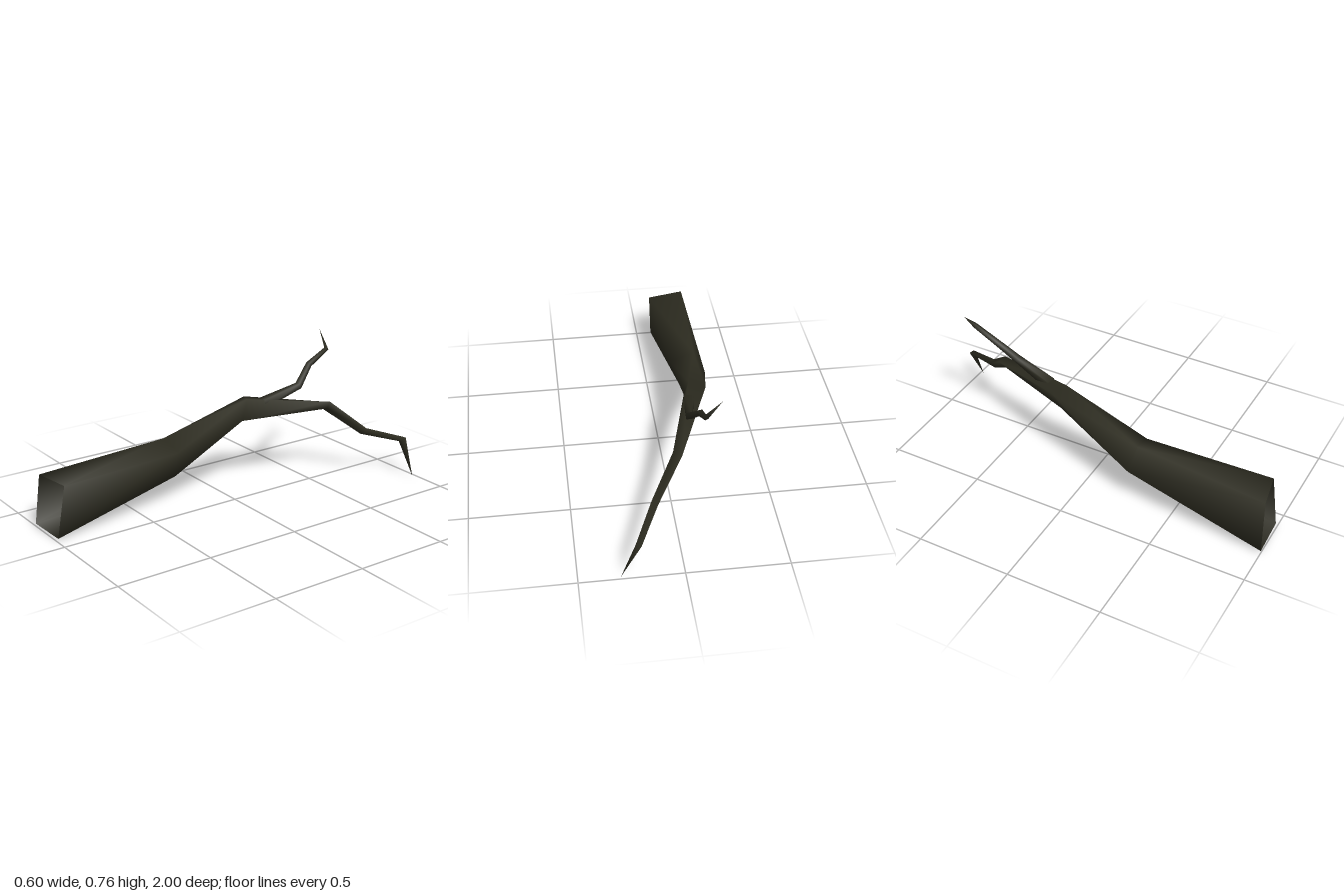
import * as THREE from 'three';

const V = (p) => new THREE.Vector3(...p);

// Smooth skin over four-cornered rings, drawn together at a pointed tip
function skin(rings, tip) {
  const pos = [], index = [];
  rings.forEach((ring) => ring.forEach((p) => pos.push(...p)));
  pos.push(...tip);
  const last = rings.length - 1, end = rings.length * 4;
  for (let i = 0; i <= last; i++) {
    for (let j = 0; j < 4; j++) {
      const a = i * 4 + j, b = i * 4 + (j + 1) % 4;
      if (i === last) index.push(a, b, end);
      else index.push(a, b, a + 4, b, b + 4, a + 4);
    }
  }
  const g = new THREE.BufferGeometry();
  g.setAttribute('position', new THREE.Float32BufferAttribute(pos, 3));
  g.setIndex(index);
  g.computeVertexNormals();
  return g;
}

// Square rings set across a path of [x, y, z, radius]; the last point is the tip
function ringsAlong(path) {
  const pts = path.map((p) => V(p.slice(0, 3)));
  return path.slice(0, -1).map((p, i) => {
    const t = pts[i + 1].clone().sub(pts[i]).normalize();
    if (i > 0) t.add(pts[i].clone().sub(pts[i - 1]).normalize()).normalize();
    const side = t.clone().cross(new THREE.Vector3(0, 1, 0)).normalize();
    const up = side.clone().cross(t);
    return [0, 1, 2, 3].map((k) => {
      const a = (k + 0.5) * Math.PI / 2;
      return pts[i].clone()
        .addScaledVector(up, Math.cos(a) * p[3])
        .addScaledVector(side, Math.sin(a) * p[3]).toArray();
    });
  });
}

export function createModel() {
  const group = new THREE.Group();
  group.name = 'deadBranch';
  const bark = new THREE.MeshStandardMaterial({ color: 0x2f2e22, side: THREE.DoubleSide });
  bark.name = 'dark bark';

  // Main limb, open at the thick end; corners run top, right, bottom, left
  const limbRings = [
    [[-0.262, 0.285, 0.985], [-0.07, 0.28, 0.95], [-0.082, 0.01, 0.99], [-0.3, 0.014, 1.0]],
    [[-0.23, 0.333, 0.29], [-0.103, 0.29, 0.28], [-0.15, 0.145, 0.27], [-0.291, 0.21, 0.27]],
    [[-0.13, 0.484, -0.17], [-0.114, 0.375, -0.13], [-0.185, 0.375, -0.17], [-0.21, 0.471, -0.21]],
    [[0.01, 0.42, -0.625], [0.01, 0.385, -0.607], [-0.02, 0.373, -0.605], [-0.032, 0.405, -0.64]],
    [[0.132, 0.27, -0.785], [0.13, 0.25, -0.775], [0.108, 0.235, -0.765], [0.103, 0.255, -0.8]],
    [[0.23, 0.2, -0.99], [0.226, 0.186, -0.97], [0.208, 0.18, -0.96], [0.204, 0.195, -1.0]],
  ];
  const limb = new THREE.Mesh(skin(limbRings, [0.3, 0, -0.985]), bark);
  limb.name = 'mainLimb';
  group.add(limb);

  // Thin crooked twig growing up from the limb
  const twigPath = [
    [-0.118, 0.448, -0.27, 0.034],
    [-0.086, 0.513, -0.482, 0.021],
    [-0.122, 0.606, -0.58, 0.017],
    [-0.126, 0.673, -0.705, 0.014],
    [-0.2, 0.765, -0.715, 0],
  ];
  const twig = new THREE.Mesh(skin(ringsAlong(twigPath), twigPath[4].slice(0, 3)), bark);
  twig.name = 'twig';
  group.add(twig);

  return group;
}
